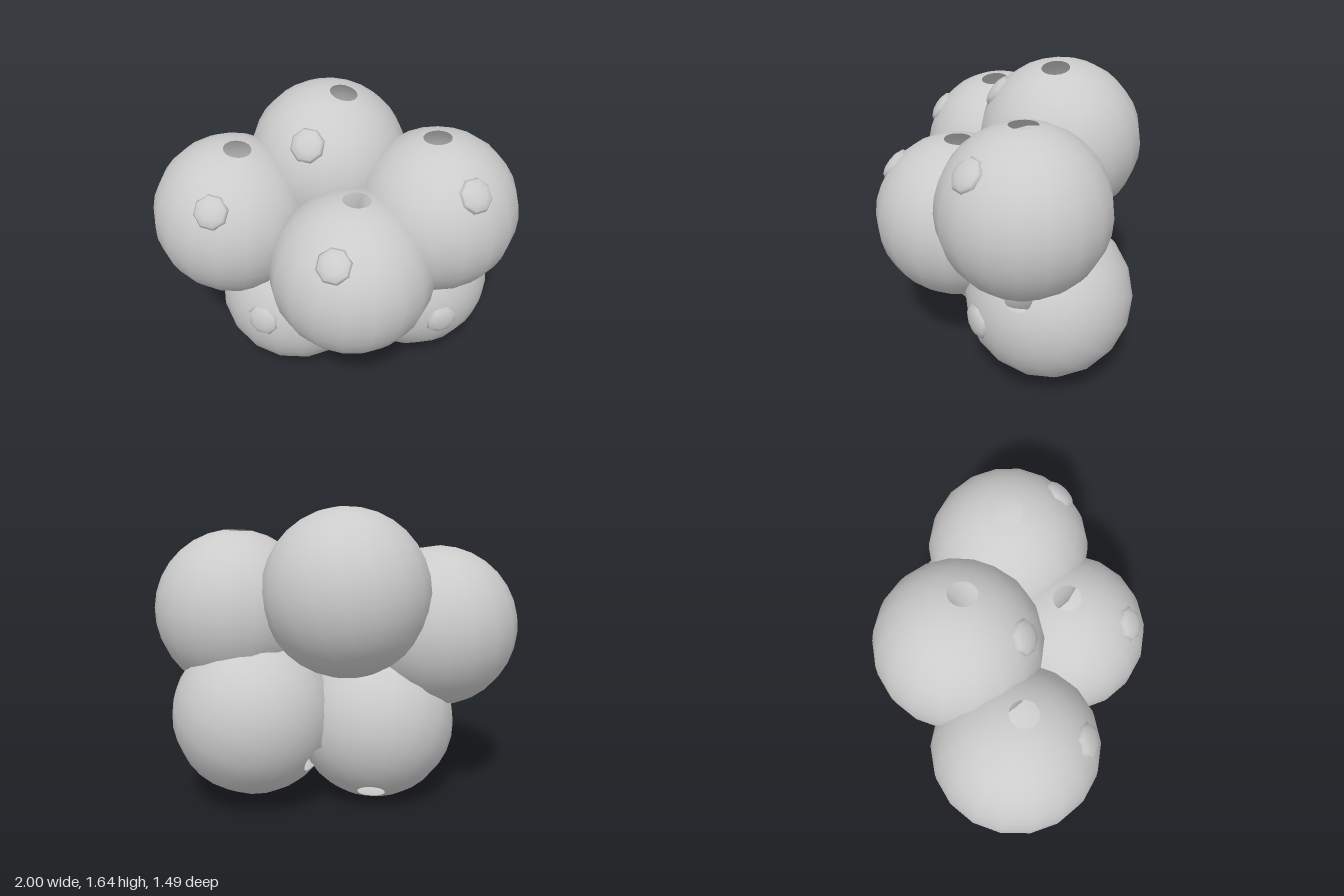
import * as THREE from 'three';

const R = 0.447;
const UP = new THREE.Vector3(0, 1, 0);

// centre of each ball, direction of its open pole, direction of its front button
const BALLS = [
  { name: 'rightBall', at: [-0.555, 0.97, -0.105], pole: [0.05, 0.43, 0.05], button: [-0.09, 0.25, 0.36] },
  { name: 'topBall', at: [-0.01, 1.19, -0.305], pole: [0.08, 0.43, 0.06], button: [-0.13, 0.27, 0.33] },
  { name: 'frontBall', at: [0.08, 0.845, 0.3], pole: [0.02, 0.43, -0.01], button: [-0.12, 0.285, 0.32] },
  { name: 'leftBall', at: [0.555, 1.06, 0.06], pole: [-0.02, 0.43, 0], button: [0.13, 0.28, 0.31] },
  { name: 'lowerRightBall', at: [-0.21, 0.445, -0.09], pole: [0.07, -0.34, -0.27], button: [-0.21, 0.06, 0.39] },
  { name: 'lowerLeftBall', at: [0.475, 0.505, -0.105], pole: [-0.3, -0.2, -0.25], button: [0.12, -0.035, 0.43] },
];

export function createModel() {
  const model = new THREE.Group();
  model.name = 'ballCluster';
  const material = new THREE.MeshStandardMaterial({ color: 0xcccccc, side: THREE.DoubleSide });

  // hollow shell with a small opening at both poles
  const gap = 0.17;
  const shell = new THREE.SphereGeometry(R, 18, 14, 0, Math.PI * 2, gap, Math.PI - 2 * gap);

  // flattened eight-sided button, its axis along y
  const button = new THREE.SphereGeometry(0.095, 8, 6);
  button.scale(1, 0.4, 1);

  for (const b of BALLS) {
    const group = new THREE.Group();
    group.name = b.name;
    group.position.set(...b.at);

    const ball = new THREE.Mesh(shell, material);
    ball.name = 'shell';
    ball.quaternion.setFromUnitVectors(UP, new THREE.Vector3(...b.pole).normalize());

    const dir = new THREE.Vector3(...b.button).normalize();
    const knob = new THREE.Mesh(button, material);
    knob.name = 'button';
    knob.quaternion.setFromUnitVectors(UP, dir);
    knob.position.copy(dir).multiplyScalar(0.433);

    group.add(ball, knob);
    model.add(group);
  }
  return model;
}
